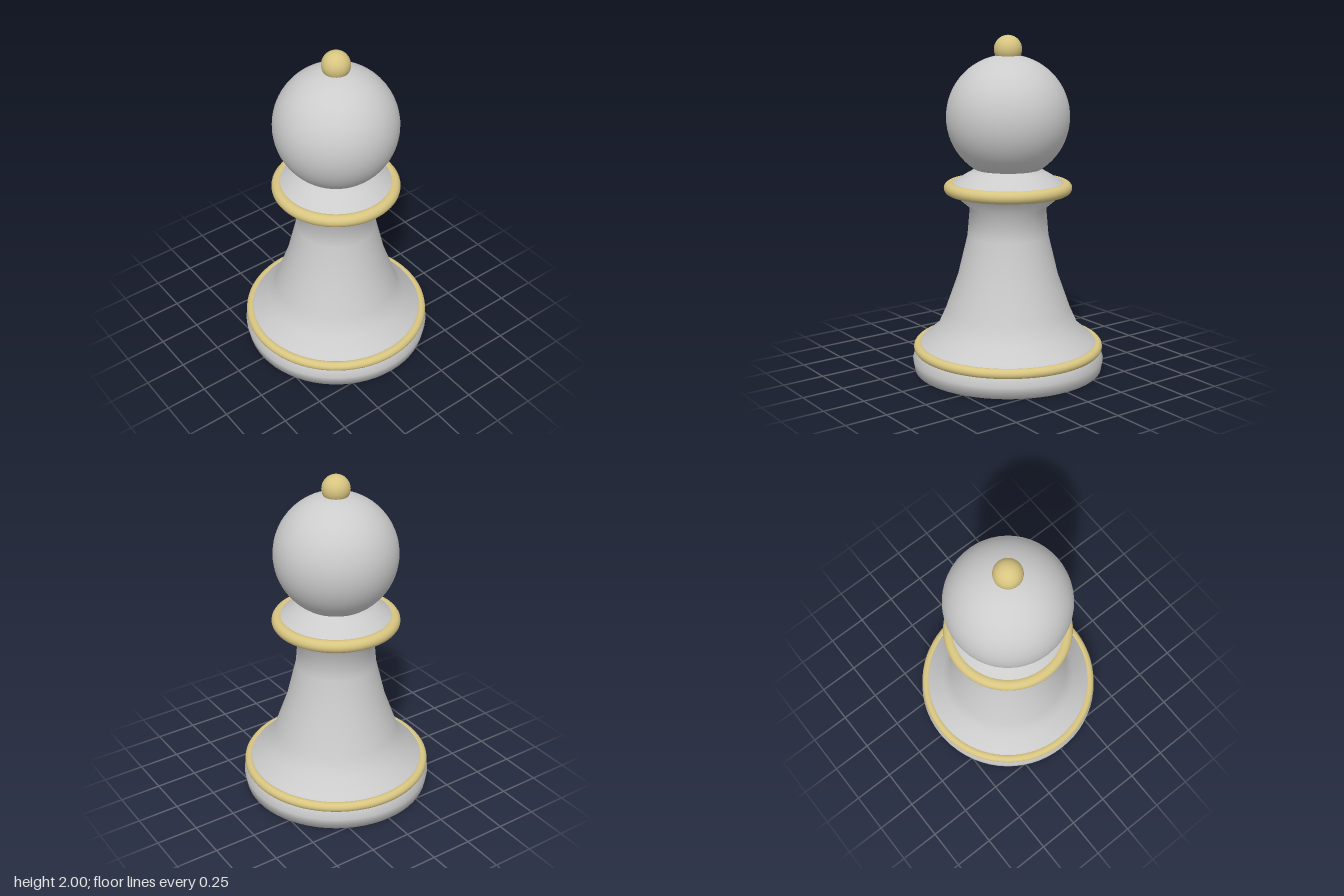
import * as THREE from 'three';

export function createModel() {
  const grey = new THREE.MeshStandardMaterial({ color: 0xcccccc });
  grey.name = 'light grey';
  const gold = new THREE.MeshStandardMaterial({ color: 0xd8c581 });
  gold.name = 'pale gold';

  const group = new THREE.Group();
  group.name = 'chessPawn';
  const add = (name, geometry, material, y = 0) => {
    const mesh = new THREE.Mesh(geometry, material);
    mesh.name = name;
    mesh.position.y = y;
    group.add(mesh);
    return mesh;
  };

  // Turned body: base, flared stem, collar and short neck
  const profile = [
    [0, 0], [0.565, 0], [0.577, 0.07], [0.555, 0.125], [0.52, 0.18],
    [0.425, 0.26], [0.375, 0.37], [0.3, 0.58], [0.242, 0.82], [0.227, 0.99],
    [0.345, 1.09], [0.345, 1.13], [0.225, 1.2], [0.195, 1.22], [0.17, 1.25],
  ].map(([r, y]) => new THREE.Vector2(r, y));
  add('body', new THREE.LatheGeometry(profile, 64), grey);

  // Round head and finial
  add('head', new THREE.SphereGeometry(0.363, 48, 32), grey, 1.525);
  add('finial', new THREE.SphereGeometry(0.082, 32, 20), gold, 1.918);

  // Gold trim rings
  const ring = (name, outer, tube, y) => {
    add(name, new THREE.TorusGeometry(outer - tube, tube, 16, 72), gold, y).rotation.x = Math.PI / 2;
  };
  ring('collarRing', 0.38, 0.037, 1.107);
  ring('baseRing', 0.571, 0.029, 0.14);

  return group;
}
